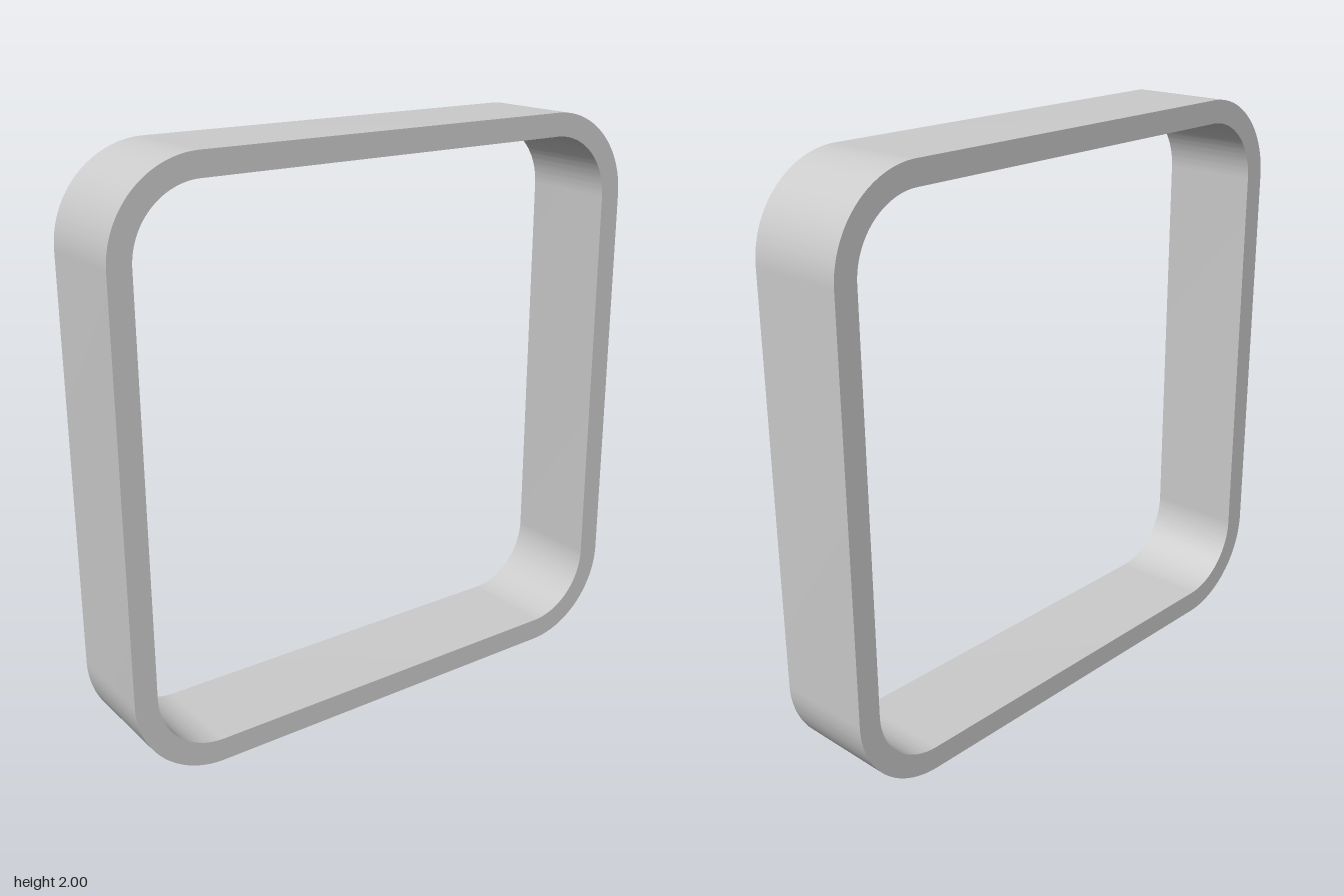
import * as THREE from 'three';
import { toCreasedNormals } from 'three/addons/utils/BufferGeometryUtils.js';

const HALF = 1;         // half of the outer side
const RADIUS = 0.31;    // outer corner radius
const THICKNESS = 0.08; // wall of the frame
const WIDTH = 0.346;    // depth of the band along x

// Traces a rounded square: four corner arcs joined by straight sides
function roundedSquare(path, half, radius) {
  const c = half - radius;
  const corners = [[c, c], [-c, c], [-c, -c], [c, -c]];
  corners.forEach(([x, y], i) => {
    path.absarc(x, y, radius, i * Math.PI / 2, (i + 1) * Math.PI / 2, false);
  });
  return path;
}

export function createModel() {
  const group = new THREE.Group();
  group.name = 'roundedSquareFrame';

  // Square band with rounded corners, open along x
  const outline = roundedSquare(new THREE.Shape(), HALF, RADIUS);
  outline.holes.push(roundedSquare(new THREE.Path(), HALF - THICKNESS, RADIUS - THICKNESS));
  const extruded = new THREE.ExtrudeGeometry(outline, {
    depth: WIDTH, bevelEnabled: false, curveSegments: 24,
  });
  extruded.translate(0, 0, -WIDTH / 2);
  extruded.rotateY(Math.PI / 2);
  extruded.translate(0, HALF, 0);

  const band = new THREE.Mesh(
    toCreasedNormals(extruded, Math.PI / 6),
    new THREE.MeshStandardMaterial({ color: 0xcccccc }),
  );
  band.name = 'frameBand';
  group.add(band);
  return group;
}
